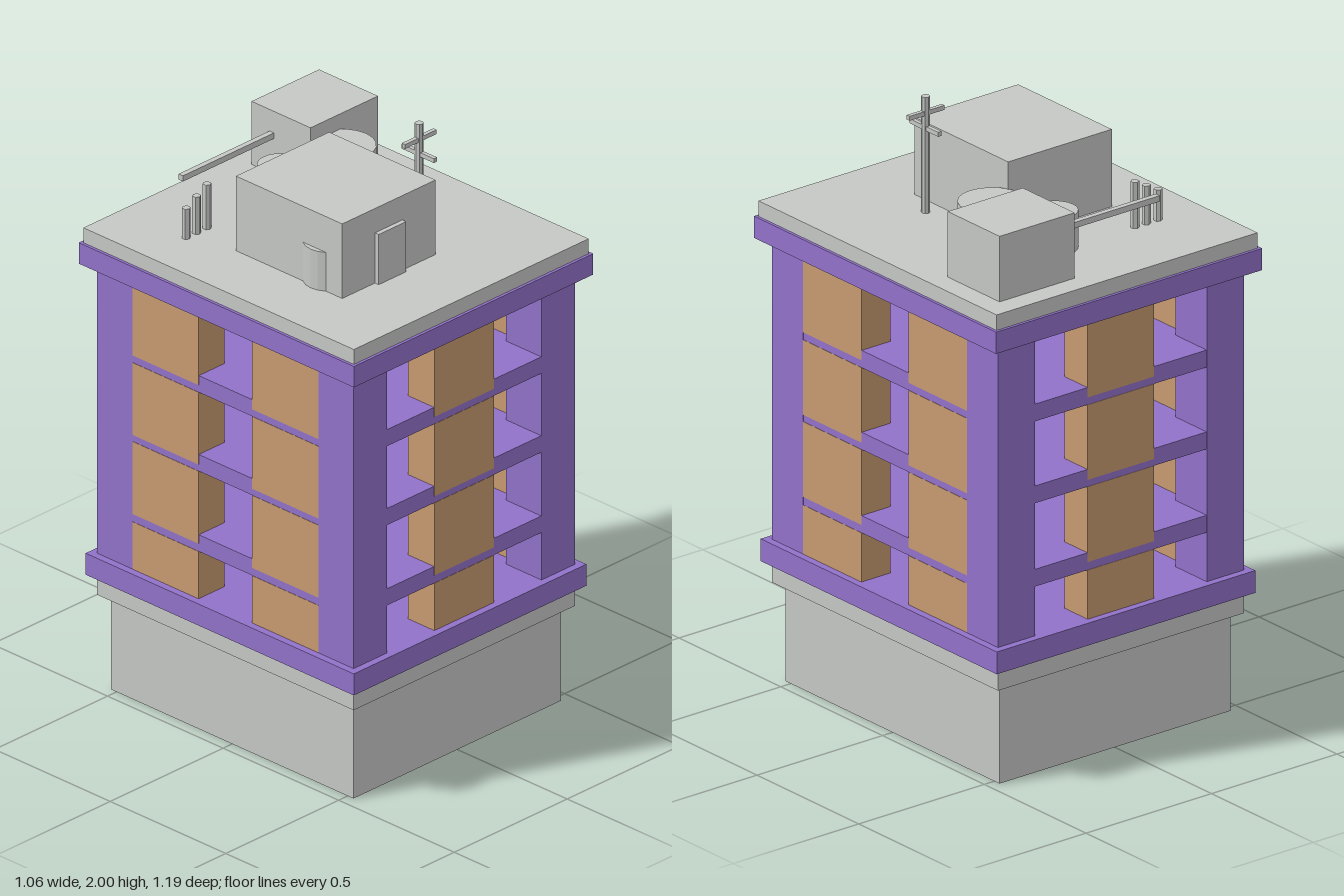
import * as THREE from 'three';

export function createModel() {
  const model = new THREE.Group();
  const flat = (name, color) => {
    const m = new THREE.MeshStandardMaterial({ color, flatShading: true });
    m.name = name;
    return m;
  };
  const concrete = flat('concrete grey', 0xc6c8c6);
  const purple = flat('purple frame', 0x9272ca);
  const tan = flat('tan panel', 0xc89a70);

  const add = (name, geometry, material, x, y, z) => {
    const mesh = new THREE.Mesh(geometry, material);
    mesh.name = name;
    mesh.position.set(x, y, z);
    model.add(mesh);
    return mesh;
  };
  // Box given by its limits on each axis
  const box = (name, m, x0, x1, y0, y1, z0, z1) =>
    add(name, new THREE.BoxGeometry(x1 - x0, y1 - y0, z1 - z0), m,
      (x0 + x1) / 2, (y0 + y1) / 2, (z0 + z1) / 2);
  const layer = (name, m, hx, hz, y0, y1) => box(name, m, -hx, hx, y0, y1, -hz, hz);
  // Upright cylinder from y0 to y1
  const upright = (name, x, z, r, y0, y1, sides) =>
    add(name, new THREE.CylinderGeometry(r, r, y1 - y0, sides), concrete, x, (y0 + y1) / 2, z);

  const HX = 0.49, HZ = 0.555, ROOF = 1.61;

  // Base and ledges
  layer('base', concrete, 0.46, 0.525, 0, 0.33);
  layer('baseCollar', concrete, HX, HZ, 0.33, 0.4);
  layer('lowerLedge', purple, 0.515, 0.58, 0.4, 0.475);
  layer('ceiling', purple, HX, HZ, 1.468, 1.486);
  layer('upperLedge', purple, 0.53, 0.595, 1.485, 1.558);
  layer('roofSlab', concrete, 0.52, 0.585, 1.558, ROOF);

  // Floor slabs
  for (const y of [0.64, 0.92, 1.195]) layer('floorSlab', purple, HX - 0.001, HZ - 0.001, y, y + 0.058);

  // Corner pillars
  for (const sx of [-1, 1]) for (const sz of [-1, 1])
    add('cornerPillar', new THREE.BoxGeometry(0.148, 0.995, 0.153), purple,
      sx * (HX - 0.074), 0.9725, sz * (HZ - 0.0765));

  // Wall panels of each storey
  const T = 0.115;
  for (const [y0, y1] of [[0.475, 0.64], [0.667, 0.92], [0.943, 1.195], [1.22, 1.468]]) {
    const h = y1 - y0, y = (y0 + y1) / 2;
    for (const s of [-1, 1]) {
      add('centrePanel', new THREE.BoxGeometry(0.265, h, T), tan, 0, y, s * (HZ - T / 2));
      for (const t of [-1, 1])
        add('sidePanel', new THREE.BoxGeometry(T, h, 0.286), tan, s * (HX - T / 2), y, t * 0.259);
    }
  }

  // Roof house with door, and plant box
  box('roofHouse', concrete, -0.3, 0.113, ROOF, 1.87, -0.14, 0.32);
  box('roofDoor', concrete, -0.155, -0.033, ROOF, 1.785, 0.32, 0.336);
  box('plantBox', concrete, 0.148, 0.447, ROOF, 1.83, -0.51, -0.255);
  box('roofDuct', concrete, -0.255, 0.148, 1.735, 1.755, -0.432, -0.413);

  // Water tanks
  upright('largeTank', 0.208, -0.177, 0.107, ROOF, 1.777, 20);
  upright('smallTank', 0.04, -0.278, 0.074, ROOF, 1.735, 20);
  upright('sideTank', -0.235, 0.2, 0.082, ROOF, 1.745, 20);

  // Vent pipes in rising heights
  for (let i = 0; i < 3; i++)
    upright('ventPipe', -0.345 + i * 0.046, -0.311, 0.014, ROOF, 1.715 + i * 0.025, 6);

  // Aerial with two crossed arms
  upright('aerialPole', 0.174, 0.19, 0.014, ROOF, 2, 8);
  box('aerialArm', concrete, 0.104, 0.244, 1.937, 1.952, 0.183, 0.197);
  box('aerialArm', concrete, 0.167, 0.181, 1.887, 1.902, 0.12, 0.26);

  return model;
}
